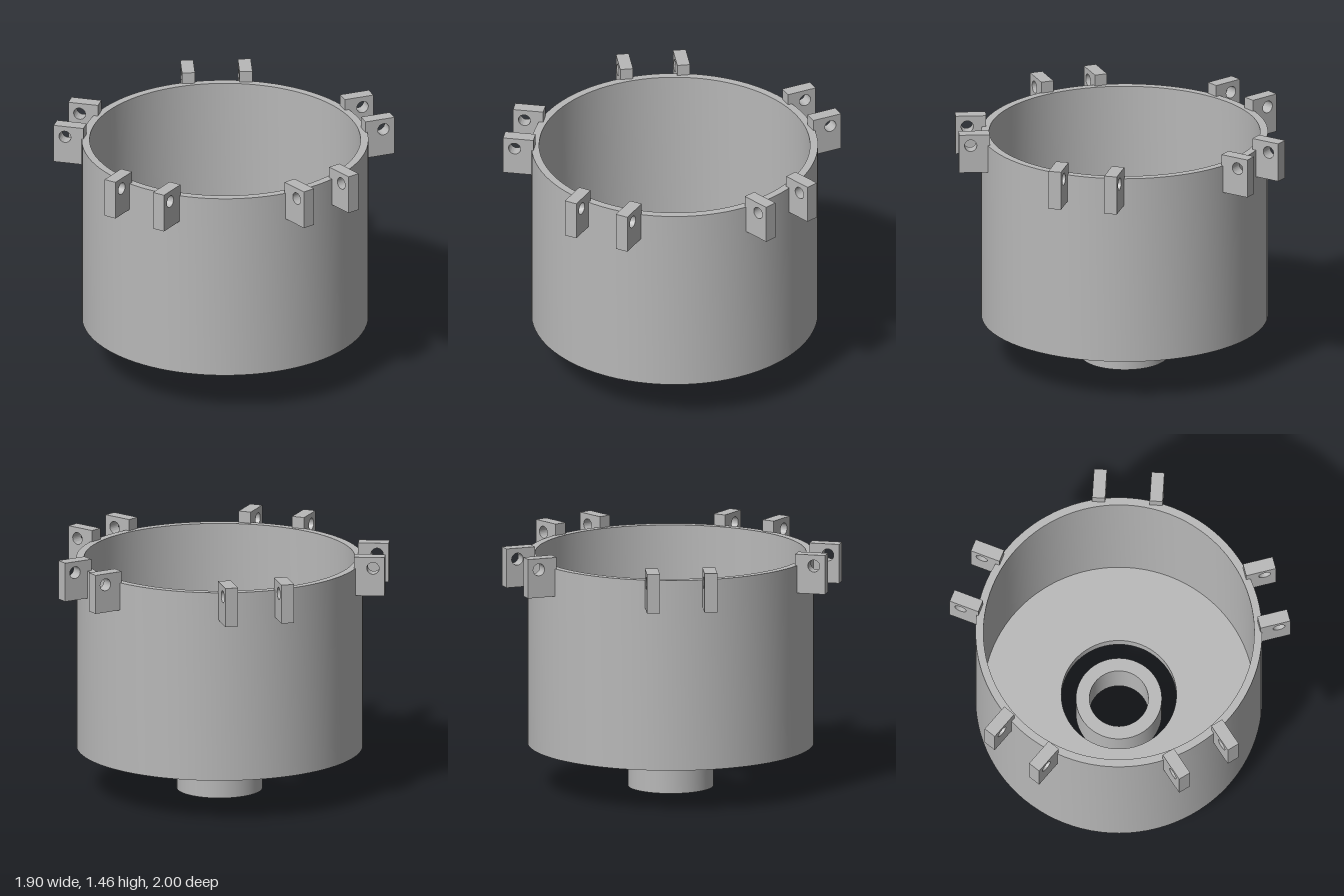
import * as THREE from 'three';
import { toCreasedNormals } from 'three/addons/utils/BufferGeometryUtils.js';

const grey = new THREE.MeshStandardMaterial({ color: 0xb8b8b8 });
grey.name = 'plain grey';

function mesh(name, geometry) {
  const m = new THREE.Mesh(geometry, grey);
  m.name = name;
  return m;
}

// Closed ring profile turned about the y axis, with sharp edges
function turned(name, profile) {
  const points = [...profile, profile[0]].map(([r, y]) => new THREE.Vector2(r, y));
  return mesh(name, toCreasedNormals(new THREE.LatheGeometry(points, 96), 0.6));
}

// Upright lug plate with a pin hole, reaching outward along +x
function lugGeometry(thickness) {
  const [r0, r1, y0, y1] = [0.805, 0.985, 1.23, 1.463];
  const shape = new THREE.Shape([
    new THREE.Vector2(r0, y0), new THREE.Vector2(r1, y0),
    new THREE.Vector2(r1, y1), new THREE.Vector2(r0, y1),
  ]);
  const hole = new THREE.Path();
  hole.absarc(0.917, 1.397, 0.036, 0, Math.PI * 2, true);
  shape.holes.push(hole);
  const g = new THREE.ExtrudeGeometry(shape, { depth: thickness, bevelEnabled: false, curveSegments: 24 });
  g.translate(0, 0, -thickness / 2);
  return toCreasedNormals(g, 0.6);
}

export function createModel() {
  const model = new THREE.Group();
  model.name = 'lugged drum';
  model.position.x = -0.035;

  // Open drum whose floor has a wide central hole
  const [floorY, floorTop, rimY] = [0.257, 0.325, 1.395];
  model.add(turned('drum', [
    [0.338, floorY], [0.841, floorY], [0.841, rimY],
    [0.795, rimY], [0.795, floorTop], [0.338, floorTop],
  ]));

  // Loose collar below the floor hole
  model.add(turned('collar', [[0.173, 0], [0.252, 0], [0.252, 0.257], [0.173, 0.257]]));

  // Five pairs of lugs around the rim
  const lug = lugGeometry(0.076);
  for (let i = 0; i < 5; i++) {
    const pair = new THREE.Group();
    pair.name = `lugPair${i + 1}`;
    pair.rotation.y = (i * Math.PI * 2) / 5;
    for (const side of [-1, 1]) {
      const plate = mesh(side < 0 ? 'lugA' : 'lugB', lug);
      plate.position.z = side * 0.169;
      pair.add(plate);
    }
    model.add(pair);
  }

  const root = new THREE.Group();
  root.name = 'model';
  root.add(model);
  return root;
}
